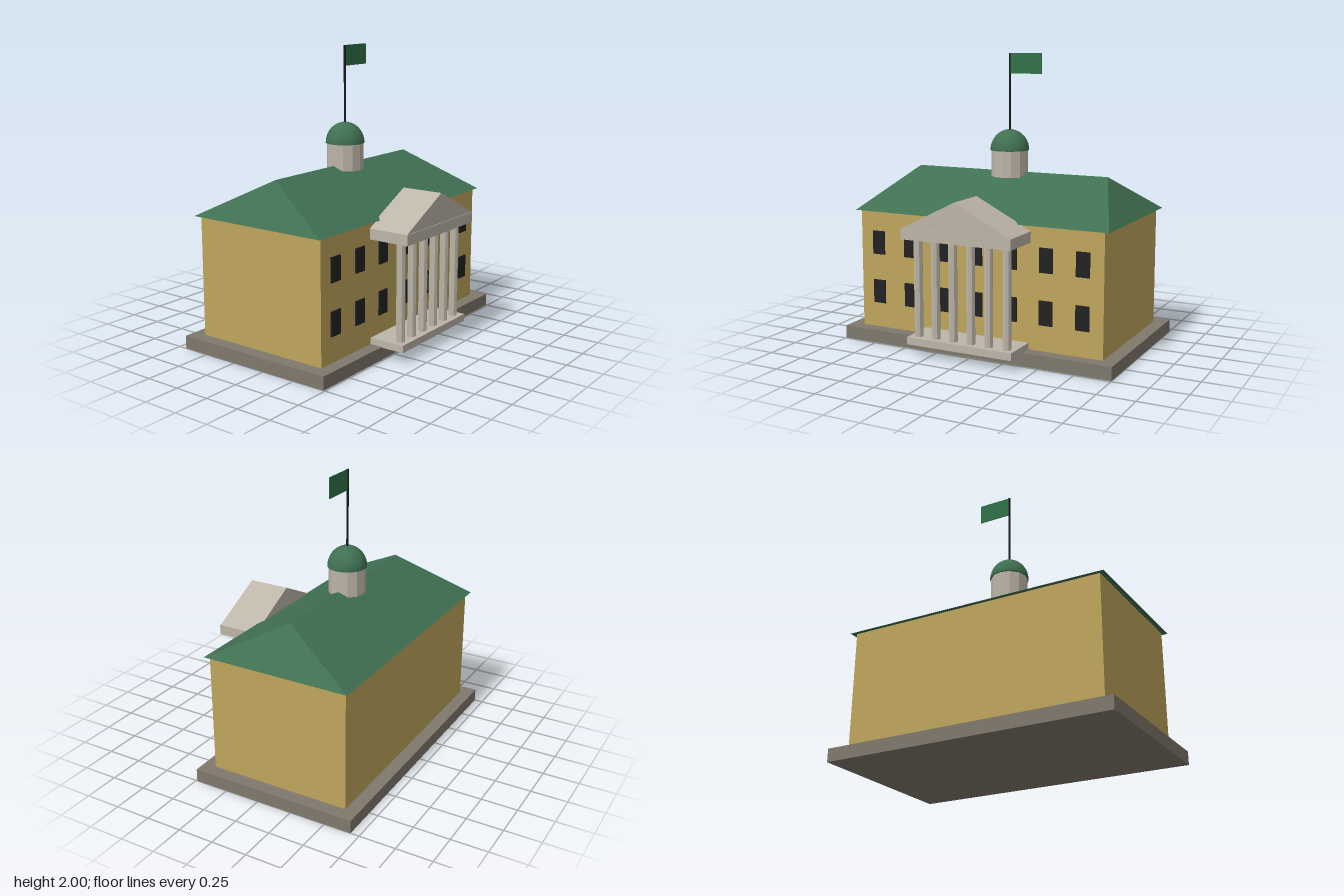
import * as THREE from 'three';

const mat = (name, color, extra = {}) => {
  const m = new THREE.MeshStandardMaterial({ color, ...extra });
  m.name = name;
  return m;
};

export function createModel() {
  const stone = mat('grey stone', 0x7f786c);
  const wall = mat('ochre wall', 0xbfa55c);
  const trim = mat('pale trim', 0xbdb5a8);
  const trimFlat = mat('pale faceted trim', 0xbdb5a8, { flatShading: true });
  const green = mat('roof green', 0x407052);
  const flagGreen = mat('flag green', 0x327248, { side: THREE.DoubleSide });
  const glass = mat('dark glass', 0x222222);
  const black = mat('pole black', 0x181a1a);

  const model = new THREE.Group();
  model.name = 'townHall';
  const midZ = -0.1;

  const add = (name, geometry, material, x = 0, y = 0, z = 0, parent = model) => {
    const mesh = new THREE.Mesh(geometry, material);
    mesh.name = name;
    mesh.position.set(x, y, z);
    parent.add(mesh);
    return mesh;
  };
  // Box given by its limits on each axis
  const box = (name, material, [x0, x1], [y0, y1], [z0, z1], parent = model) =>
    add(name, new THREE.BoxGeometry(x1 - x0, y1 - y0, z1 - z0), material,
      (x0 + x1) / 2, (y0 + y1) / 2, (z0 + z1) / 2, parent);

  // Plinth and main block
  box('plinth', stone, [-1, 1], [0, 0.09], [-0.69, 0.49]);
  box('mainBlock', wall, [-0.907, 0.907], [0.09, 0.92], [-0.6, 0.4]);

  // Hipped roof: a box whose top is pinched into a ridge
  const roof = new THREE.BoxGeometry(1.884, 0.27, 1.05);
  const p = roof.attributes.position;
  for (let i = 0; i < p.count; i++) {
    if (p.getY(i) > 0) {
      p.setX(i, Math.sign(p.getX(i)) * 0.728);
      p.setZ(i, 0);
    }
  }
  roof.computeVertexNormals();
  add('hippedRoof', roof, green, 0, 1.05, -0.103);

  // Two rows of front windows
  const windows = new THREE.Group();
  windows.name = 'windows';
  model.add(windows);
  for (const y of [0.347, 0.695]) {
    for (let i = -3; i <= 3; i++) {
      const x = i * 0.255;
      box('window', glass, [x - 0.047, x + 0.047], [y - 0.082, y + 0.082], [0.4, 0.409], windows);
    }
  }

  // Portico: step, six columns, entablature and pediment
  const portico = new THREE.Group();
  portico.name = 'portico';
  model.add(portico);
  box('porticoStep', trim, [-0.387, 0.387], [0.085, 0.135], [0.39, 0.655], portico);
  const columnGeometry = new THREE.CylinderGeometry(0.03, 0.03, 0.67, 8);
  for (let i = 0; i < 6; i++) {
    add('column', columnGeometry, trimFlat, (i - 2.5) * 0.131, 0.468, 0.595, portico);
  }
  box('entablature', trim, [-0.4, 0.4], [0.803, 0.875], [0.39, 0.69], portico);
  const gable = new THREE.Shape([
    new THREE.Vector2(-0.4, 0), new THREE.Vector2(0.4, 0), new THREE.Vector2(0, 0.2),
  ]);
  add('pediment', new THREE.ExtrudeGeometry(gable, { depth: 0.295, bevelEnabled: false }),
    trim, 0, 0.875, 0.39, portico);

  // Cupola with dome
  add('cupola', new THREE.CylinderGeometry(0.127, 0.127, 0.185, 12), trimFlat, 0, 1.2425, midZ);
  const dome = add('dome',
    new THREE.SphereGeometry(0.135, 24, 10, 0, Math.PI * 2, 0, Math.PI / 2), green, 0, 1.333, midZ);
  dome.scale.y = 1.06;
  const underside = add('domeUnderside', new THREE.CircleGeometry(0.135, 24), green, 0, 1.333, midZ);
  underside.rotation.x = Math.PI / 2;

  // Flagpole and flag
  add('flagpole', new THREE.CylinderGeometry(0.008, 0.008, 0.54, 8), black, 0, 1.73, midZ);
  box('flag', flagGreen, [0.005, 0.24], [1.86, 2], [midZ - 0.003, midZ + 0.003]);

  return model;
}
